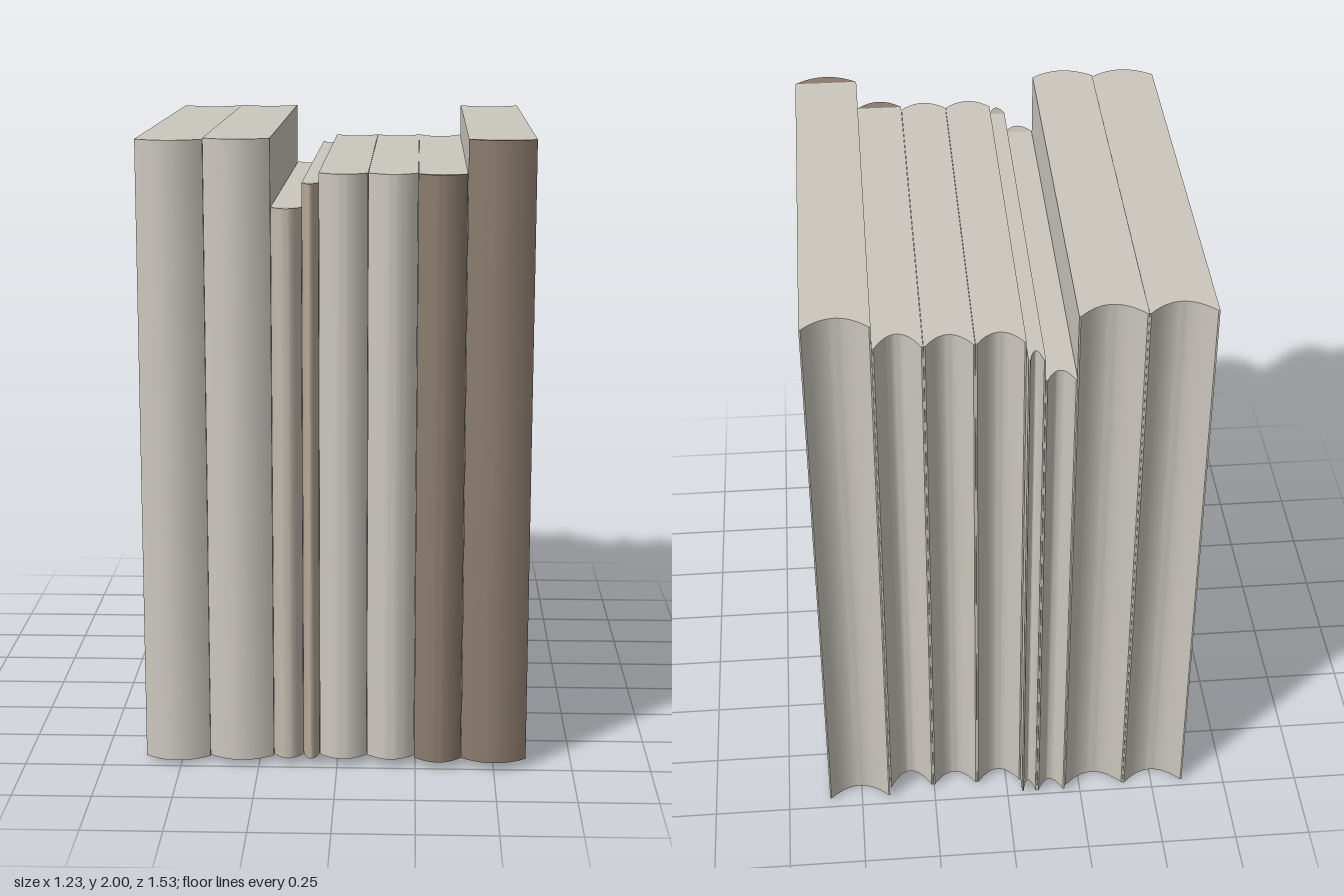
import * as THREE from 'three';
import { toCreasedNormals } from 'three/addons/utils/BufferGeometryUtils.js';

const COVER = 0xcbc7be, BROWN = 0x8a7a6c, BOARD = 0.005;

// left, right: x edges; height; base: y under the centre; front: spine apex z; back: fore-edge z;
// hollow: depth of the concave fore-edge; tilt: backward lean; color: spine colour
const BOOKS = [
  { left: -0.612, right: -0.405, height: 1.98, base: 0.008, front: 0.74, back: -0.723, hollow: 0.055, tilt: 0.010, color: COVER },
  { left: -0.405, right: -0.2, height: 1.978, base: 0.013, front: 0.745, back: -0.722, hollow: 0.055, tilt: 0.0115, color: COVER },
  { left: -0.2, right: -0.105, height: 1.762, base: 0.02, front: 0.745, back: -0.743, hollow: 0.05, tilt: 0.0118, color: 0xc0b8ac },
  { left: -0.105, right: -0.053, height: 1.837, base: 0.02, front: 0.745, back: -0.742, hollow: 0.05, tilt: 0.0118, color: 0xb5a898 },
  { left: -0.053, right: 0.098, height: 1.867, base: 0.02, front: 0.745, back: -0.687, hollow: 0.055, tilt: 0.0118, color: COVER },
  { left: 0.098, right: 0.25, height: 1.867, base: 0.02, front: 0.745, back: -0.687, hollow: 0.055, tilt: 0.0118, color: COVER },
  { left: 0.25, right: 0.4, height: 1.867, base: 0.02, front: 0.765, back: -0.687, hollow: 0.07, tilt: 0.0118, color: BROWN },
  { left: 0.4, right: 0.607, height: 1.971, base: 0.02, front: 0.765, back: -0.722, hollow: 0.052, tilt: 0.0118, color: BROWN },
];

// Raise a plan outline (x, -z) to a standing prism with a smooth curved side
function prism(shape, height) {
  const g = new THREE.ExtrudeGeometry(shape, { depth: height, bevelEnabled: false, curveSegments: 20 });
  g.rotateX(-Math.PI / 2);
  return toCreasedNormals(g, 0.5);
}

function makeBook(b) {
  const book = new THREE.Group();
  const w = (b.right - b.left) / 2 - 0.0005;
  const sag = 0.042;
  const edge = b.front - sag;
  const add = (name, geometry, color) => {
    const mesh = new THREE.Mesh(geometry, new THREE.MeshStandardMaterial({ color }));
    mesh.name = name;
    book.add(mesh);
    return mesh;
  };

  // Rounded spine
  const spine = new THREE.Shape();
  spine.moveTo(-w, -edge);
  spine.quadraticCurveTo(0, -edge - 2 * sag, w, -edge);
  spine.closePath();
  add('spine', prism(spine, b.height), b.color);

  // Page block with hollow fore-edge
  const p = w - BOARD;
  const pages = new THREE.Shape();
  pages.moveTo(-p, -edge);
  pages.lineTo(p, -edge);
  pages.lineTo(p, -b.back);
  pages.quadraticCurveTo(0, -b.back - 2 * b.hollow, -p, -b.back);
  pages.closePath();
  add('pages', prism(pages, b.height), COVER);

  // Cover boards
  for (const side of [-1, 1]) {
    const board = add(side > 0 ? 'leftCover' : 'rightCover',
      new THREE.BoxGeometry(BOARD, b.height, edge - b.back), COVER);
    board.position.set(side * (w - BOARD / 2), b.height / 2, (edge + b.back) / 2);
  }

  book.position.set((b.left + b.right) / 2, b.base, 0);
  book.rotation.set(-b.tilt, -0.005, 0);
  return book;
}

export function createModel() {
  const model = new THREE.Group();
  model.name = 'bookRow';
  BOOKS.forEach((b, i) => {
    const book = makeBook(b);
    book.name = `book${i + 1}`;
    model.add(book);
  });
  return model;
}
